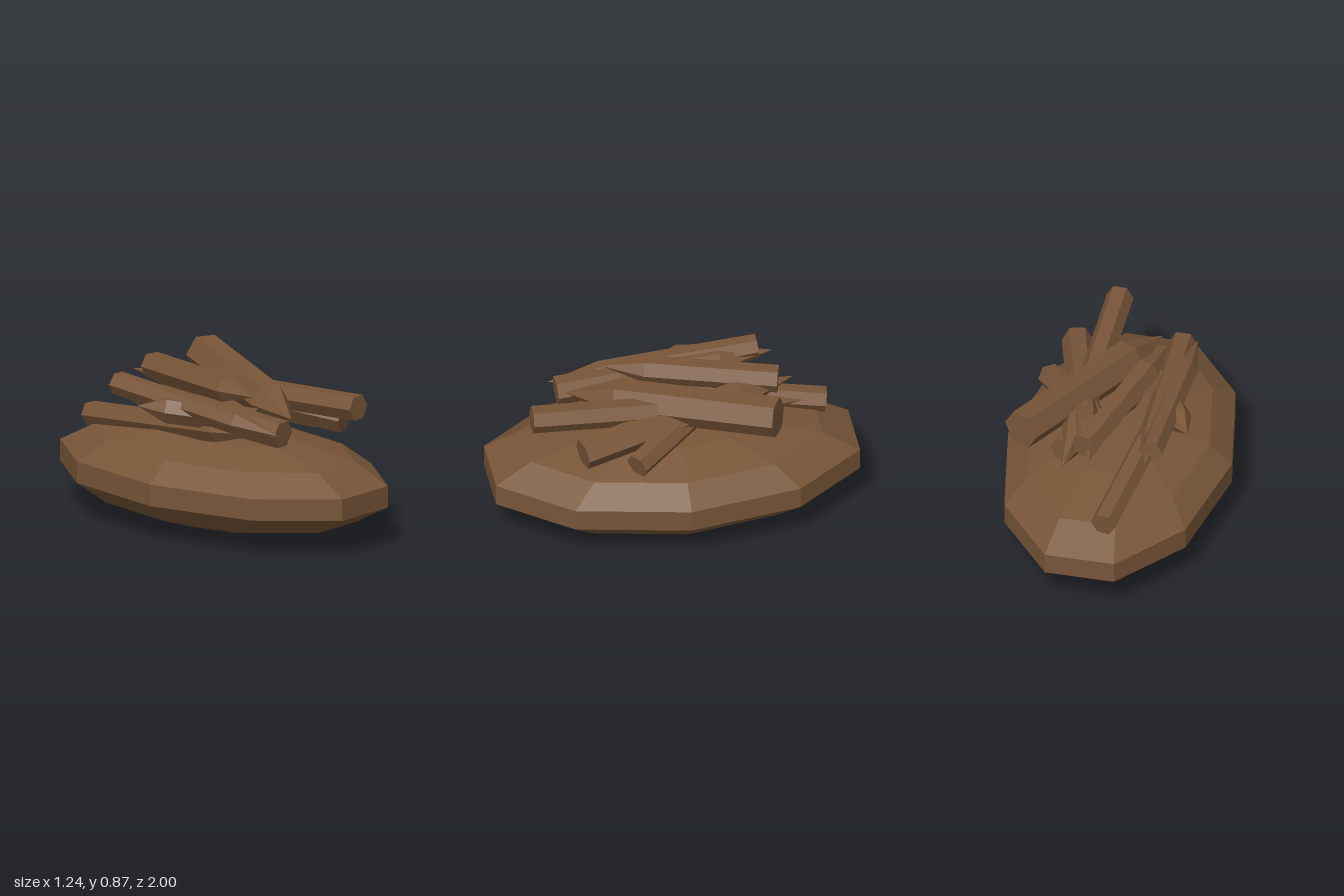
import * as THREE from 'three';

export function createModel() {
  const group = new THREE.Group();
  const brown = new THREE.MeshStandardMaterial({ color: 0x785538, flatShading: true });
  brown.name = 'barkBrown';

  // Faceted oval mound: ten sides, seven bands
  const mound = new THREE.Mesh(new THREE.SphereGeometry(1, 10, 7), brown);
  mound.name = 'mound';
  mound.scale.set(0.636, 0.27, 1.077);
  mound.position.y = 0.27;
  group.add(mound);

  // Six-sided stick with a flat end, sharpened over the last quarter
  function addStick(name, radius, flatEnd, tip) {
    const start = new THREE.Vector3(...flatEnd);
    const dir = new THREE.Vector3(...tip).sub(start);
    const length = dir.length();
    dir.normalize();
    const profile = [[0, 0], [radius, 0], [radius, length * 0.75], [0, length]]
      .map(([r, h]) => new THREE.Vector2(r, h));
    const stick = new THREE.Mesh(new THREE.LatheGeometry(profile, 6), brown);
    stick.name = name;
    // Keep two corners of the hexagon level
    const side = new THREE.Vector3().crossVectors(dir, new THREE.Vector3(0, 1, 0)).normalize();
    const up = new THREE.Vector3().crossVectors(dir, side);
    stick.quaternion.setFromRotationMatrix(new THREE.Matrix4().makeBasis(up, dir, side));
    stick.position.copy(start);
    group.add(stick);
  }

  // Loose pile of sticks: radius, flat end, tip
  const sticks = [
    ['topStick', 0.11, [0.435, 0.77, -0.505], [-0.11, 0.69, 0.57]],
    ['upperStick', 0.075, [0.07, 0.765, -0.57], [-0.18, 0.79, 0.36]],
    ['frontStick', 0.075, [0.18, 0.735, 0.8], [0.17, 0.68, -0.69]],
    ['leftLongStick', 0.066, [-0.285, 0.745, -0.515], [-0.29, 0.64, 0.635]],
    ['frontLowStick', 0.08, [-0.215, 0.63, 0.6], [-0.27, 0.72, -0.6]],
    ['rearLowStick', 0.07, [-0.1, 0.48, -0.86], [-0.28, 0.62, 0.5]],
    ['crossStick', 0.075, [-0.1, 0.63, 0.31], [-0.43, 0.69, -0.25]],
    ['splayedStick', 0.085, [0.36, 0.6, 0.55], [0.02, 0.74, -0.66]],
    ['shortSideStick', 0.07, [0.45, 0.55, 0.27], [0.02, 0.7, -0.27]],
    ['innerStick', 0.075, [0.22, 0.63, -0.46], [-0.1, 0.58, 0.33]],
  ];
  sticks.forEach((s) => addStick(...s));

  return group;
}
